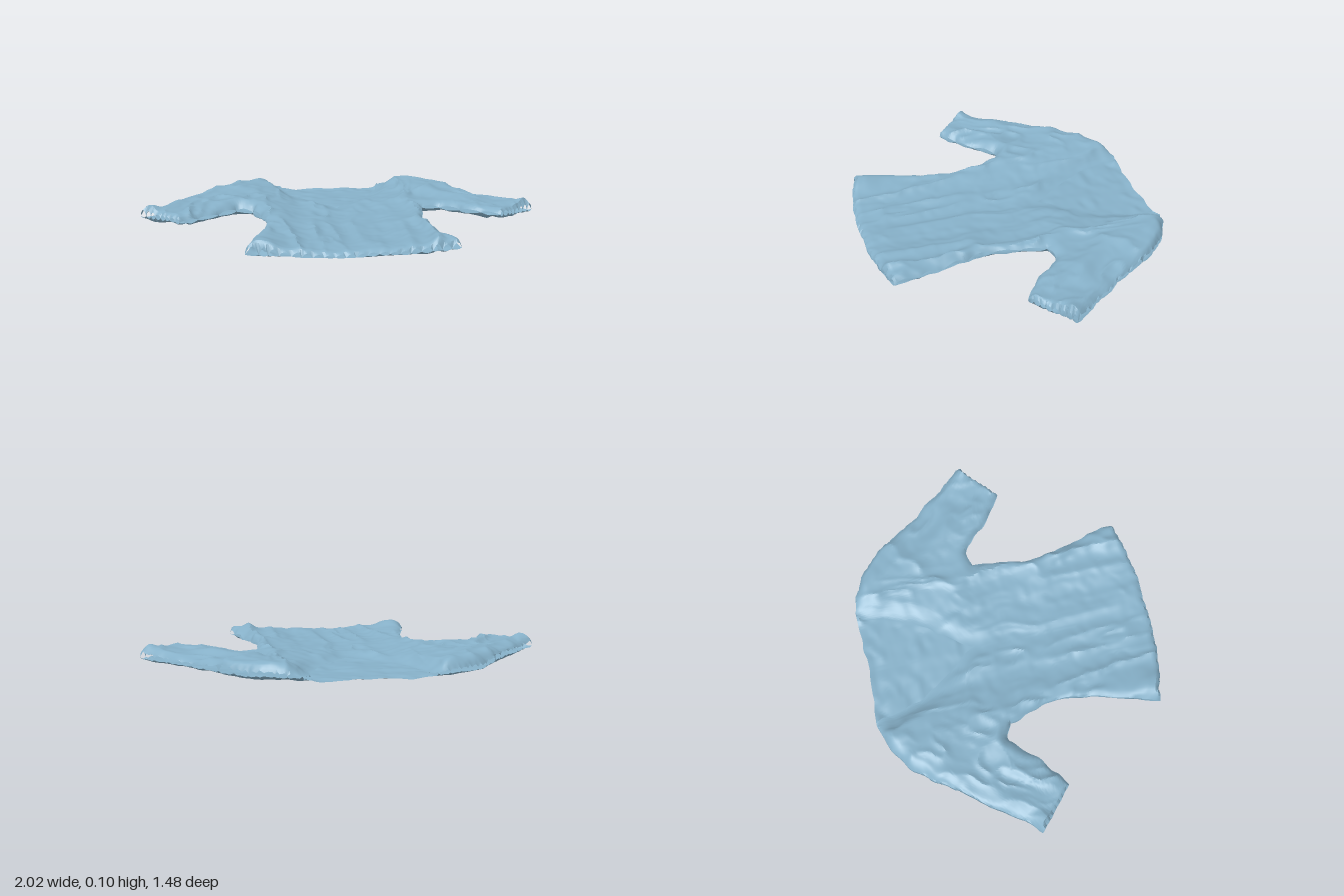
import * as THREE from 'three';
import { mergeGeometries, toCreasedNormals } from 'three/addons/utils/BufferGeometryUtils.js';

const curve = (pts) => new THREE.CatmullRomCurve3(pts.map(([x, z]) => new THREE.Vector3(x, 0, z)));
const step = THREE.MathUtils.smoothstep;
const lerp = THREE.MathUtils.lerp;

// Pattern lines of one half (x, z): side and sleeve seam, neckline, centre back, sleeve edges
const outer = curve([[.493, .67], [.455, .5], [.4, .3], [.395, .1], [.44, -.09], [.44, -.3], [.38, -.55], [.31, -.738]]);
const innerFront = curve([[0, .735], [0, .5], [0, .3], [0, .05], [0, -.18], [.1, -.32], [.22, -.51], [.28, -.722]]);
const innerBack = curve([[0, .735], [0, .5], [0, .3], [0, .05], [0, -.18], [0, -.35], [0, -.55], [0, -.725]]);
const sleeveTop = curve([[.31, -.738], [.45, -.69], [.59, -.585], [.73, -.395], [.86, -.225], [1, -.05]]);
const sleeveUnder = curve([[.44, -.09], [.51, -.115], [.58, -.06], [.65, .015], [.73, .075], [.81, .125]]);

// Body half: rows run from hem to shoulder, with a slightly bowed hem
const bodyPlan = (inner) => (s, t, p) => {
  const a = inner.getPoint(t), b = outer.getPoint(t);
  a.x = Math.max(0, a.x);
  p.lerpVectors(a, b, s);
  p.z += .09 * s * (1 - s) * Math.max(0, 1 - t * 4);
  return p;
};

// Sleeve: columns run from the seam to the cuff, bent to follow the seam
function sleevePlan(s, t, p) {
  p.lerpVectors(sleeveUnder.getPoint(s), sleeveTop.getPoint(s), t);
  const straight = sleeveUnder.getPoint(0).lerp(sleeveTop.getPoint(0), t);
  return p.addScaledVector(outer.getPoint((4 + 3 * t) / 7).sub(straight), 1 - s);
}

// Sampled edges: the side folds, the flattened hem and cuffs, and the neckline
const along = (n, at) => Array.from({ length: n + 1 }, (_, i) => at(i / n));
const folded = [
  ...along(70, (k) => outer.getPoint(k * 4 / 7)),
  ...along(90, (k) => sleeveTop.getPoint(k)),
  ...along(60, (k) => sleeveUnder.getPoint(k)),
  new THREE.Vector3(.295, 0, -.73), new THREE.Vector3(.28, 0, -.722),
];
const rims = [
  ...along(50, (k) => bodyPlan(innerBack)(k, 0, new THREE.Vector3())),
  ...along(40, (k) => sleevePlan(1, k, new THREE.Vector3())),
];
const neckline = along(50, (k) => innerFront.getPoint(lerp(4 / 7, 1, k)));
function distanceTo(points, x, z) {
  let best = 1e9;
  for (const p of points) best = Math.min(best, (p.x - x) ** 2 + (p.z - z) ** 2);
  return Math.sqrt(best);
}

// Smooth repeatable noise, and sharp-crested ridges made from it
function hash(i, j) {
  const s = Math.sin(i * 127.1 + j * 311.7) * 43758.5453;
  return s - Math.floor(s);
}
function noise(x, y) {
  const i = Math.floor(x), j = Math.floor(y);
  const u = step(x - i, 0, 1), v = step(y - j, 0, 1);
  return lerp(lerp(hash(i, j), hash(i + 1, j), u), lerp(hash(i, j + 1), hash(i + 1, j + 1), u), v);
}
const ridge = (x, y) => (1 - Math.abs(2 * noise(x, y) - 1)) ** 1.6;

// Creases: lengthwise on the body, along the arm on the sleeves
function creases(x, z) {
  const a = Math.abs(x), side = x < 0 ? 40 : 0;
  const wx = x + .06 * (noise(x * 6 + 9, z * 6) - .5), wz = z + .06 * (noise(x * 6, z * 6 + 5) - .5);
  const gathered = Math.max(step(a, .3, .4), .7 * step(.09 - Math.abs(a - .1), 0, .07));
  const body = .6 * ridge(wx * 9 + 20, wz * 2.4) + (.1 + .4 * gathered) * ridge(wx * 18, wz * 6 + 7);
  const length = a * .68 + wz * .73, across = a * .73 - wz * .68;
  const arm = .65 * ridge(across * 8 + side, length * 3.5) + .35 * ridge(across * 13, length * 8 + side);
  return lerp(body, arm, step(a, .3, .5) * step(-z, -.15, .2));
}

// Height of the front or back cloth over a point of the pattern
function height(x, z, front) {
  const a = Math.abs(x);
  const mid = lerp(.045, .028, step(z, .5, .7)) + .022 * (noise(x * 9, z * 11) - .5);
  const d = Math.min(distanceTo(folded, a, z) / .06, distanceTo(rims, a, z) / .03, 1);
  const edge = Math.sqrt(1 - (1 - d) ** 2);
  if (!front) {
    const sides = .014 * step(a, .28, .4) * step(z, -.1, .05) * ridge(x * 20, z * 7);
    return lerp(mid, .013 + .012 * noise(x * 16, z * 26) + sides, edge);
  }
  const neck = lerp(.15, 1, step(distanceTo(neckline, a, z), 0, .1));
  const puff = .026 * step(a, .08, .38) + .012 * step(-z, 0, .6) + .03 * step(a, .9, 1);
  const crumple = (.028 + .014 * step(a, .3, .42)) * creases(x, z) + .004 * noise(x * 24, z * 30);
  return lerp(mid, .031 + neck * (puff + crumple), edge);
}

// A grid of cloth: plan(s, t, p) gives the half-pattern point, side mirrors it
function cloth(plan, cols, rows, side, front) {
  const pos = [], index = [], p = new THREE.Vector3();
  for (let r = 0; r <= rows; r++) for (let c = 0; c <= cols; c++) {
    plan(c / cols, r / rows, p);
    const x = p.x * side, z = p.z;
    const drift = .018 * Math.min(1, Math.abs(x) * 8) * (noise(x * 18, z * 20) - .5);
    const lean = .012 * step(z, -.2, .15) * step(.7 - Math.abs(x), 0, .2);
    pos.push(x + drift + lean, height(x, z, front), z + .012 * (noise(x * 18 + 50, z * 18) - .5));
  }
  const up = (side > 0) === front;
  for (let r = 0; r < rows; r++) for (let c = 0; c < cols; c++) {
    const a = r * (cols + 1) + c, b = a + 1, d = a + cols + 1, e = d + 1;
    if (up) index.push(a, b, e, a, e, d);
    else index.push(a, e, b, a, d, e);
  }
  const geometry = new THREE.BufferGeometry();
  geometry.setAttribute('position', new THREE.Float32BufferAttribute(pos, 3));
  geometry.setIndex(index);
  return geometry;
}

export function createModel() {
  const group = new THREE.Group();
  group.name = 'crumpledTop';
  const material = new THREE.MeshStandardMaterial({ color: 0x86b0c8, side: THREE.DoubleSide });
  // Each sheet joins two body halves and two sleeves, so shading runs over the seams
  for (const front of [true, false]) {
    const body = bodyPlan(front ? innerFront : innerBack);
    const pieces = [1, -1].flatMap((side) => [
      cloth(body, 40, 112, side, front),
      cloth(sleevePlan, 56, 48, side, front),
    ]);
    const sheet = new THREE.Mesh(toCreasedNormals(mergeGeometries(pieces), .6), material);
    sheet.name = front ? 'frontClothWithSleeves' : 'backClothWithSleeves';
    group.add(sheet);
  }
  return group;
}
